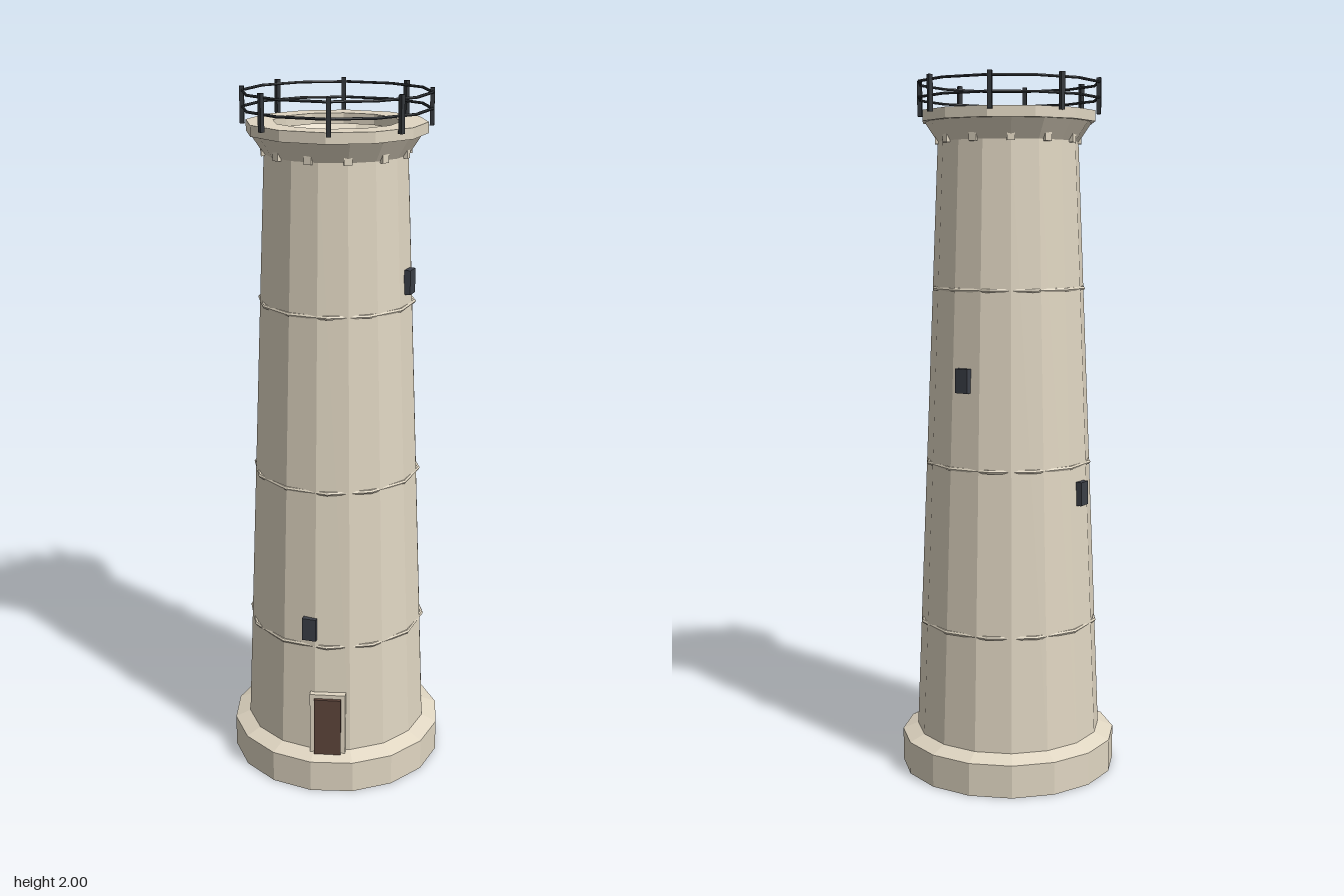
import * as THREE from 'three';

const paint = (color) => new THREE.MeshStandardMaterial({ color, flatShading: true, side: THREE.DoubleSide });

export function createModel() {
  const model = new THREE.Group();
  const stone = paint(0xe0d6c2), iron = paint(0x32363a), glass = paint(0x3c4048), wood = paint(0x5c443a);

  const add = (name, geometry, material, parent = model) => {
    const mesh = new THREE.Mesh(geometry, material);
    mesh.name = name;
    parent.add(mesh);
    return mesh;
  };
  const lathe = (name, sides, points) =>
    add(name, new THREE.LatheGeometry(points.map(([r, y]) => new THREE.Vector2(r, y)), sides), stone);
  // Box facing outward at an angle (0 = front, 90 = left) around the axis
  const boxAround = (name, size, degrees, r, y, material, parent) => {
    const a = THREE.MathUtils.degToRad(degrees);
    const mesh = add(name, new THREE.BoxGeometry(...size), material, parent);
    mesh.position.set(r * Math.sin(a), y, r * Math.cos(a));
    mesh.rotation.y = a;
    return mesh;
  };
  const hoop = (name, r, tube, y, material, parent) => {
    const mesh = add(name, new THREE.TorusGeometry(r, tube, 6, 12), material, parent);
    mesh.rotation.x = Math.PI / 2;
    mesh.position.y = y;
  };

  // Plinth, hollow tapering tower and flared head
  lathe('plinth', 16, [[0.315, 0], [0.315, 0.095], [0.268, 0.115]]);
  lathe('tower', 16, [[0.271, 0.1], [0.2, 1.83]]);
  lathe('flaredHead', 16, [[0.2, 1.825], [0.24, 1.885]]);
  // Gallery floor ring
  lathe('galleryFloor', 12, [[0.175, 1.88], [0.25, 1.88], [0.25, 1.91], [0.175, 1.91], [0.175, 1.88]]);

  // Stone bands
  for (const y of [0.445, 0.915, 1.415]) hoop('band', 0.276 - 0.041 * y, 0.006, y, stone);

  // Small brackets under the flare
  for (let i = 0; i < 12; i++) boxAround('bracket', [0.022, 0.03, 0.03], 15 + i * 30, 0.193, 1.835, stone);

  // Railing
  const railing = new THREE.Group();
  railing.name = 'railing';
  model.add(railing);
  for (const y of [1.945, 1.988]) hoop('rail', 0.259, 0.004, y, iron, railing);
  for (let i = 0; i < 8; i++) boxAround('post', [0.012, 0.1, 0.012], -13 + i * 45, 0.258, 1.95, iron, railing);

  // Windows spiralling up the tower: angle, radius, height
  for (const [degrees, r, y] of [[-71, 0.256, 0.5], [-167, 0.243, 0.835], [100, 0.231, 1.165], [14, 0.218, 1.485]])
    boxAround('window', [0.041, 0.068, 0.018], degrees, r, y, glass);

  // Door with its surround
  boxAround('doorFrame', [0.104, 0.195, 0.04], -59, 0.256, 0.2025, stone);
  boxAround('door', [0.078, 0.18, 0.014], -59, 0.279, 0.198, wood);

  return model;
}
